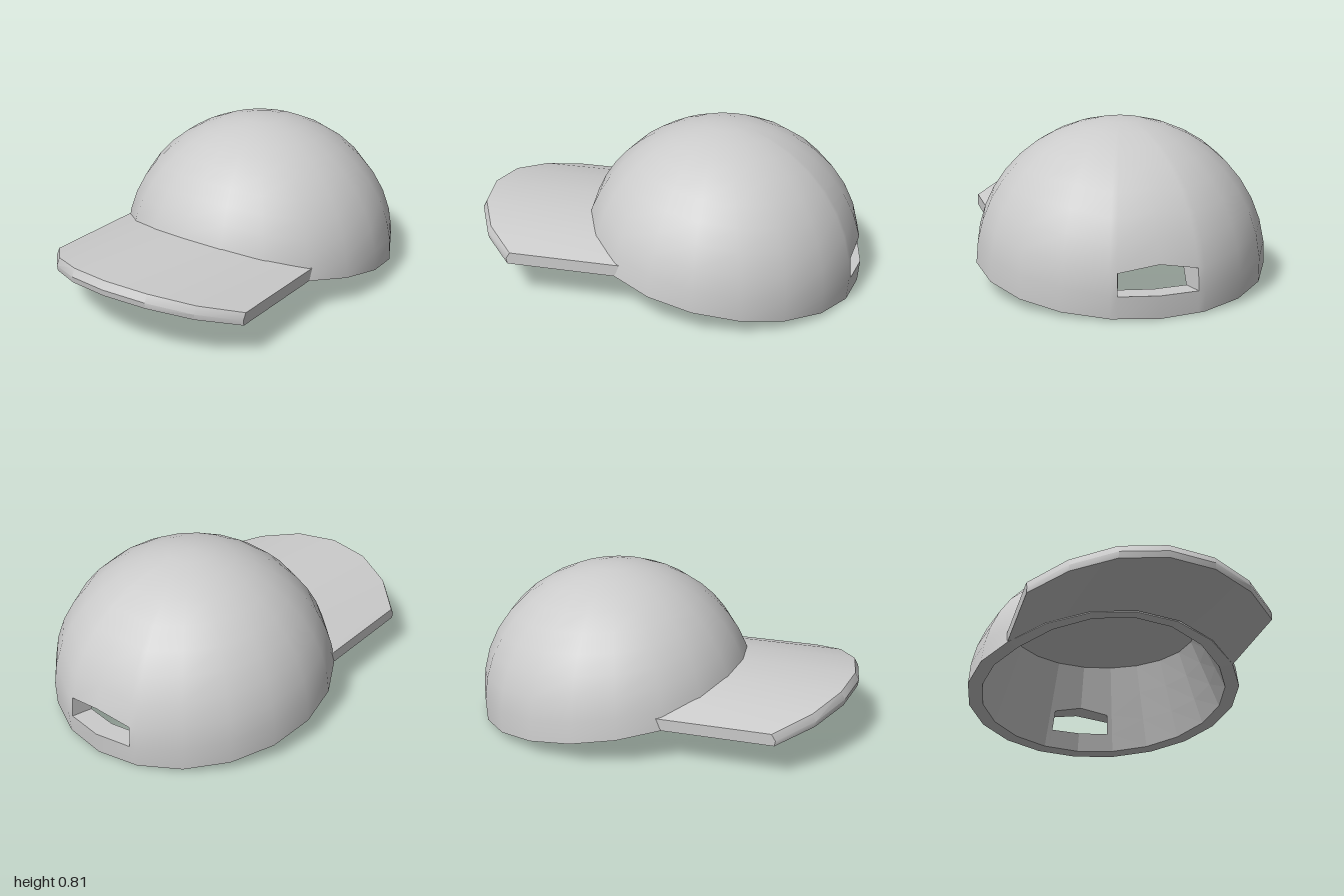
import * as THREE from 'three';
import { toCreasedNormals } from 'three/addons/utils/BufferGeometryUtils.js';

const SIDES = 20, R = 0.725, HEIGHT = 0.7, CY = 0.11, CZ = -0.28;
const RIM_IN = 0.65, CEIL_R = 0.5, CEIL_Y = 0.48, ROWS = 10;
const lerp = THREE.MathUtils.lerp;

// unit direction of a column (0 = front, 10 = back); fractions lie on the flat side between two columns
function dir(a) {
  const at = (k) => {
    const t = ((k % SIDES) / SIDES) * Math.PI * 2;
    return new THREE.Vector2(Math.sin(t), Math.cos(t));
  };
  const k = Math.floor(a);
  return at(k).lerp(at(k + 1), a - k);
}
const place = (a, r, y) => {
  const d = dir(a);
  return new THREE.Vector3(d.x * r, y, CZ + d.y * r);
};

// brim arch across x, and height of the lower edge of the crown
const arch = (x, top, drop) => top - drop * Math.pow(Math.abs(x) / 0.587, 2.1);
const isFront = (a) => Math.min(a, SIDES - a) <= 3.001;
function rimY(a, r) {
  if (isFront(a)) return arch(dir(a).x * R, 0.28, 0.1) - (R - r) * 0.08;
  return 0.156 * (CZ + dir(a).y * r + 1);
}

// columns, with two extra ones for the ends of the rear slot
const cols = [];
for (let k = 0; k <= SIDES; k++) {
  if (k === 10) cols.push(9.15);
  cols.push(k);
  if (k === 10) cols.push(10.85);
}
const isBack = (a) => a >= 9 && a <= 11;
const isSlot = (c) => cols[c] >= 9.1 && cols[c + 1] <= 10.9;
const SLOT_LOW = 0.11;
const slotTop = (a) => 0.25 - 0.035 * Math.min(1, Math.abs(a - 10) / 0.85);

function outerColumn(a) {
  const e0 = Math.asin((rimY(a, R) - CY) / HEIGHT);
  const eTop = Math.asin((slotTop(a) - CY) / HEIGHT);
  const pts = [];
  for (let i = 0; i <= ROWS; i++) {
    let e = lerp(e0, Math.PI / 2, i / ROWS);
    if (isBack(a)) e = i === 0 ? e0 : i === 1 ? 0 : lerp(eTop, Math.PI / 2, (i - 2) / (ROWS - 2));
    pts.push(place(a, R * Math.cos(e), CY + HEIGHT * Math.sin(e)));
  }
  return pts;
}
function innerColumn(a) {
  const y0 = rimY(a, RIM_IN);
  const ys = isBack(a) ? [y0, SLOT_LOW, slotTop(a), CEIL_Y]
    : [0, 1, 2, 3].map((i) => lerp(y0, CEIL_Y, i / 3));
  return ys.map((y) => place(a, lerp(RIM_IN, CEIL_R, (y - y0) / (CEIL_Y - y0)), y));
}

// collects quads, leaving out triangles that have collapsed to a line
class Surface {
  constructor() { this.data = []; }
  tri(a, b, c) {
    const n = b.clone().sub(a).cross(c.clone().sub(a));
    if (n.length() > 1e-9) for (const p of [a, b, c]) this.data.push(p.x, p.y, p.z);
  }
  quad(a, b, c, d) { this.tri(a, b, c); this.tri(a, c, d); }
  mesh(name, crease) {
    let g = new THREE.BufferGeometry();
    g.setAttribute('position', new THREE.Float32BufferAttribute(this.data, 3));
    g.computeVertexNormals();
    if (crease) g = toCreasedNormals(g, crease);
    const m = new THREE.Mesh(g, new THREE.MeshStandardMaterial({ color: 0xcccccc, flatShading: !crease }));
    m.name = name;
    return m;
  }
}

function buildCrown(group) {
  const crown = new Surface(), lining = new Surface(), rim = new Surface(), slot = new Surface();
  const outer = cols.map(outerColumn), inner = cols.map(innerColumn);
  const ceiling = new THREE.Vector3(0, CEIL_Y, CZ);
  for (let c = 0; c < cols.length - 1; c++) {
    const [o, p, i, j] = [outer[c], outer[c + 1], inner[c], inner[c + 1]];
    for (let r = 0; r < ROWS; r++)
      if (!(r === 1 && isSlot(c))) crown.quad(o[r], p[r], p[r + 1], o[r + 1]);
    for (let r = 0; r < 3; r++)
      if (!(r === 1 && isSlot(c))) lining.quad(i[r], i[r + 1], j[r + 1], j[r]);
    lining.tri(i[3], ceiling, j[3]);
    rim.quad(o[0], i[0], j[0], p[0]);
    // floor, roof and ends of the slot
    if (isSlot(c)) {
      slot.quad(o[1], p[1], j[1], i[1]);
      slot.quad(o[2], i[2], j[2], p[2]);
      if (!isSlot(c - 1)) slot.quad(o[1], i[1], i[2], o[2]);
      if (!isSlot(c + 1)) slot.quad(p[1], p[2], j[2], j[1]);
    }
  }
  group.add(crown.mesh('crown', 0.7), lining.mesh('lining'), rim.mesh('rimEdge'), slot.mesh('rearSlot'));
}

// arched brim: one closed cross-section per column, from right to left
function buildBrim(group) {
  const brim = new Surface();
  const sections = [];
  for (let k = -3; k <= 3; k++) {
    const t = (k / SIDES) * Math.PI * 2;
    const x = R * Math.sin(t), z = 0.27 + R * Math.cos(t);
    const top = arch(x, 0.35, 0.11), low = arch(x, 0.28, 0.1);
    sections.push([
      [CZ + 0.715 * Math.cos(t), low],
      [z, low],
      [z + 0.005, low + (top - low) * 0.45],
      [z - 0.015, top],
      [CZ + 0.655 * Math.cos(t), top],
    ].map(([pz, py]) => new THREE.Vector3(x, py, pz)));
  }
  const n = sections[0].length;
  for (let s = 0; s < sections.length - 1; s++) {
    const a = sections[s], b = sections[s + 1];
    for (let i = 0; i < n; i++) {
      const m = (i + 1) % n;
      brim.quad(a[i], b[i], b[m], a[m]);
    }
  }
  // side ends
  const first = sections[0], last = sections[sections.length - 1];
  for (let i = 1; i < n - 1; i++) {
    brim.tri(first[0], first[i], first[i + 1]);
    brim.tri(last[0], last[i + 1], last[i]);
  }
  group.add(brim.mesh('brim', 0.6));
}

export function createModel() {
  const group = new THREE.Group();
  group.name = 'cap';
  buildCrown(group);
  buildBrim(group);
  return group;
}
